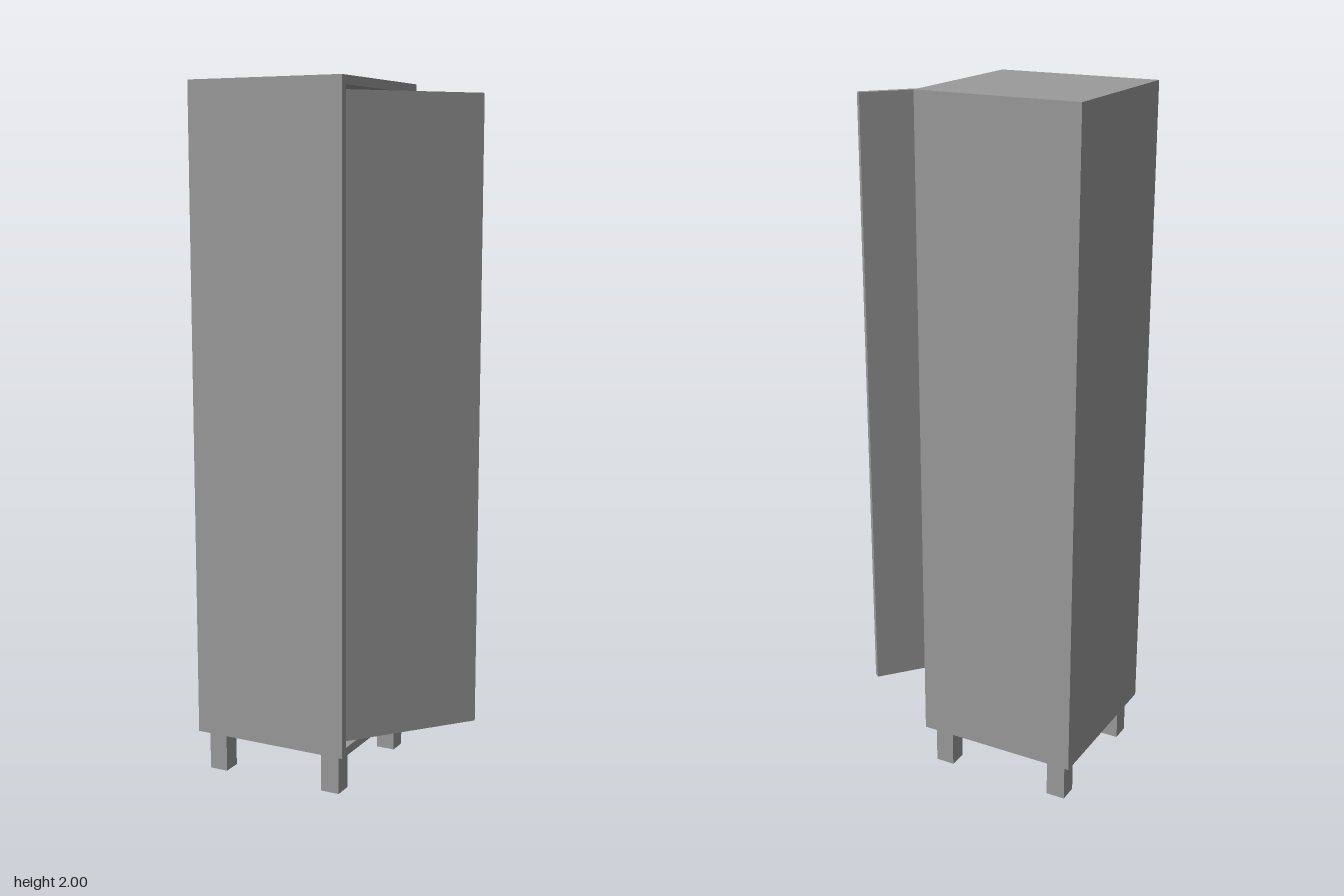
import * as THREE from 'three';

export function createModel() {
  const group = new THREE.Group();
  const material = new THREE.MeshStandardMaterial({ color: 0x9b9b9b, flatShading: true });

  const add = (name, geometry, x, y, z) => {
    const mesh = new THREE.Mesh(geometry, material);
    mesh.name = name;
    mesh.position.set(x, y, z);
    group.add(mesh);
    return mesh;
  };

  const left = -0.369, right = 0.107, halfDepth = 0.238;
  const bottom = 0.119, top = 2, wall = 0.025;

  // Rectangle path in the plane of the open side
  const rectangle = (path, inset) => {
    const w = halfDepth - inset, lo = bottom + inset, hi = top - inset;
    path.moveTo(-w, lo).lineTo(w, lo).lineTo(w, hi).lineTo(-w, hi).closePath();
    return path;
  };

  // Hollow carcass: a rectangular tube running along x
  const outline = rectangle(new THREE.Shape(), 0);
  outline.holes.push(rectangle(new THREE.Path(), wall));
  const carcass = new THREE.ExtrudeGeometry(outline, { depth: right - left, bevelEnabled: false });
  carcass.rotateY(Math.PI / 2);
  add('carcass', carcass, left, 0, 0);

  // Panel closing the side opposite the door
  const panel = new THREE.BoxGeometry(wall, top - bottom - 2 * wall, 2 * (halfDepth - wall));
  add('backPanel', panel, left + wall / 2, (top + bottom) / 2, 0);

  // Door, swung open about its hinge edge
  const doorWidth = 0.417, doorThickness = 0.02, doorBottom = 0.161, doorTop = 1.963;
  const doorGeometry = new THREE.BoxGeometry(doorThickness, doorTop - doorBottom, doorWidth);
  doorGeometry.translate(-doorThickness / 2, 0, -doorWidth / 2);
  const door = add('door', doorGeometry, 0.101, (doorTop + doorBottom) / 2, 0.212);
  door.rotation.y = -THREE.MathUtils.degToRad(40);

  // Four square legs
  const legSize = 0.056;
  const legInset = wall + legSize / 2 - 0.001;
  for (const x of [left + legInset, right - legInset]) {
    for (const z of [-halfDepth + legInset, halfDepth - legInset]) {
      add('leg', new THREE.BoxGeometry(legSize, bottom, legSize), x, bottom / 2, z);
    }
  }
  return group;
}
